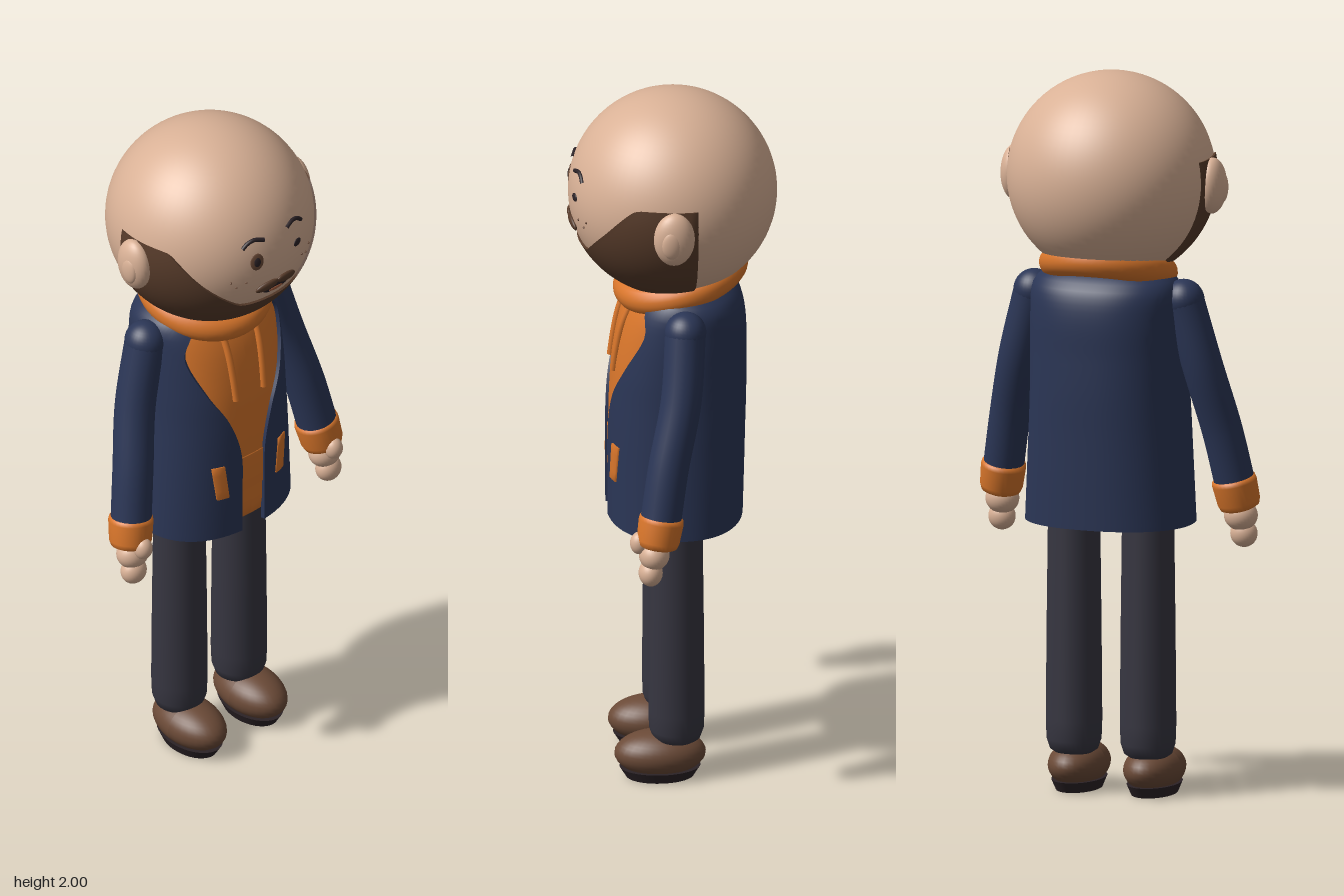
import * as THREE from 'three';
import { toCreasedNormals } from 'three/addons/utils/BufferGeometryUtils.js';

const V = (x, y, z) => new THREE.Vector3(x, y, z);

export function createModel() {
  const root = new THREE.Group();
  root.name = 'standingFigure';
  const material = (name, color, side = THREE.FrontSide) => {
    const m = new THREE.MeshStandardMaterial({ color, side });
    m.name = name;
    return m;
  };
  const skin = material('skin', 0xd9b196);
  const navy = material('navyCloth', 0x2b3656, THREE.DoubleSide);
  const orange = material('orangeCloth', 0xd9762b, THREE.DoubleSide);
  const charcoal = material('charcoalCloth', 0x373641);
  const beardBrown = material('beardBrown', 0x573b2a, THREE.DoubleSide);
  const leather = material('shoeLeather', 0x6b4a37);
  const dark = material('darkDetail', 0x2b2226);
  const lip = material('lip', 0xa8603f);

  const add = (name, geometry, mat, parent = root) => {
    const mesh = new THREE.Mesh(geometry, mat);
    mesh.name = name;
    parent.add(mesh);
    return mesh;
  };
  const ball = (name, mat, p, r, parent = root) => {
    const m = add(name, new THREE.SphereGeometry(1, 32, 20), mat, parent);
    m.position.set(...p);
    m.scale.set(...r);
    return m;
  };
  // Grid surface; fn(i, j) gives a point, i runs sideways and j upward
  const grid = (nu, nv, fn) => {
    const pos = [], idx = [];
    for (let j = 0; j <= nv; j++) for (let i = 0; i <= nu; i++) pos.push(...fn(i, j).toArray());
    for (let j = 0; j < nv; j++) for (let i = 0; i < nu; i++) {
      const a = j * (nu + 1) + i, b = a + nu + 1;
      idx.push(a, a + 1, b + 1, a, b + 1, b);
    }
    const g = new THREE.BufferGeometry();
    g.setAttribute('position', new THREE.Float32BufferAttribute(pos, 3));
    g.setIndex(idx);
    g.computeVertexNormals();
    return g;
  };
  // Smooth lookup in rows of [key, ...values]
  const lookup = (rows, y, k) => {
    const last = rows.length - 1;
    let i = 0;
    while (i < last - 1 && y > rows[i + 1][0]) i++;
    const slope = n => {
      const a = rows[Math.max(0, n - 1)], b = rows[Math.min(last, n + 1)];
      return (b[k] - a[k]) / (b[0] - a[0]);
    };
    const h = rows[i + 1][0] - rows[i][0];
    const t = THREE.MathUtils.clamp((y - rows[i][0]) / h, 0, 1), t2 = t * t, t3 = t2 * t;
    return rows[i][k] * (2 * t3 - 3 * t2 + 1) + rows[i + 1][k] * (3 * t2 - 2 * t3)
      + h * (slope(i) * (t3 - 2 * t2 + t) + slope(i + 1) * (t3 - t2));
  };

  // Torso: height, half width, front z, back z, half width of the open front
  const torso = [
    [0.76, 0.235, 0.182, -0.19, 0.04], [0.9, 0.228, 0.183, -0.194, 0.04],
    [1.02, 0.222, 0.183, -0.197, 0.043], [1.13, 0.217, 0.18, -0.2, 0.075],
    [1.23, 0.215, 0.172, -0.2, 0.13], [1.35, 0.212, 0.148, -0.198, 0.17],
    [1.42, 0.205, 0.118, -0.18, 0.14], [1.455, 0.175, 0.09, -0.145, 0.105],
    [1.475, 0.13, 0.06, -0.1, 0.08]];
  const E = 0.88;
  const bulge = v => Math.sign(v) * Math.abs(v) ** E;
  const torsoPoint = (y, t, s) => {
    const w = lookup(torso, y, 1), f = lookup(torso, y, 2), b = lookup(torso, y, 3);
    return V(w * s * bulge(Math.sin(t)), y, (f + b) / 2 + (f - b) / 2 * s * bulge(Math.cos(t)));
  };
  const angleAt = (x, y, s) =>
    Math.sign(x) * Math.asin(Math.min(1, Math.abs(x) / (lookup(torso, y, 1) * s)) ** (1 / E));
  const frontPoint = (x, y, s) => torsoPoint(y, angleAt(x, y, s), s);

  // Jacket with turned-in edges along the opening and the hem
  const NU = 72, NV = 40;
  add('jacket', toCreasedNormals(grid(NU, NV, (i, j) => {
    const y = THREE.MathUtils.lerp(0.76, 1.475, Math.max(0, j - 1) / (NV - 1));
    const gap = angleAt(lookup(torso, y, 4), y, 1);
    const u = THREE.MathUtils.clamp((i - 1) / (NU - 2), 0, 1);
    return torsoPoint(y, gap + u * (2 * Math.PI - 2 * gap), i === 0 || i === NU || j === 0 ? 0.94 : 1);
  }), 0.8), navy);

  // Hooded top beneath the jacket, closed below and above
  const innerRows = [[0.775, 0.01], [0.775, 0.82], [0.79, 0.91], [0.82, 0.95]];
  for (let i = 1; i <= 24; i++) innerRows.push([0.82 + 0.65 * i / 24, 0.955]);
  innerRows.push([1.472, 0.01]);
  add('hoodedTop', grid(64, innerRows.length - 1,
    (i, j) => torsoPoint(innerRows[j][0], i / 64 * Math.PI * 2, innerRows[j][1])), orange);
  add('waistband', grid(8, 4, (i, j) => {
    const edge = j === 0 || j === 4;
    return frontPoint((i / 4 - 1) * 0.06, 0.89 + 0.11 * THREE.MathUtils.clamp((j - 1) / 2, 0, 1), edge ? 0.95 : 0.972);
  }), orange);

  // Collar rolled round the neck, rising toward the back
  const collar = add('collar', new THREE.TorusGeometry(0.148, 0.042, 20, 56), orange);
  collar.rotation.x = Math.PI / 2 + 0.27;
  collar.position.set(0, 1.462, -0.022);

  // Head and face
  const R = 0.285, HY = 1.715;
  const head = new THREE.Group();
  head.name = 'headGroup';
  root.add(head);
  add('head', new THREE.SphereGeometry(R, 64, 44), skin, head).position.y = HY;
  const onHead = (x, y, off = 0) => V(x, y - HY, Math.sqrt(R * R - x * x - (y - HY) ** 2))
    .setLength(R + off).add(V(0, HY, 0));
  const plate = (name, mat, x, y, w, h, off, tilt = 0) => {
    const m = ball(name, mat, onHead(x, y, off).toArray(), [w, h, 0.004], head);
    m.lookAt(m.position.clone().multiplyScalar(2).sub(V(0, HY, 0)));
    m.rotateZ(tilt);
    return m;
  };

  // Beard: upper edge height against the fraction of the way round to the ears
  const edge = [[0, 1.585], [0.2, 1.587], [0.26, 1.6], [0.44, 1.675], [0.62, 1.765], [0.68, 1.775], [1, 1.775]];
  const BR = 0.291, BU = 80, BV = 24;
  add('beard', toCreasedNormals(grid(BU, BV + 1, (i, j) => {
    const u = i / BU * 2 - 1;
    const top = Math.asin((lookup(edge, Math.abs(u), 1) - HY) / BR);
    const lat = THREE.MathUtils.lerp(-Math.PI / 2, top, Math.min(1, j / BV));
    const rho = Math.cos(lat) * BR;
    const a = u * Math.acos(Math.max(-1, -0.052 / Math.max(rho, 0.001)));
    const k = j > BV || i === 0 || i === BU ? 0.975 : 1;
    return V(k * rho * Math.sin(a), HY + k * BR * Math.sin(lat), k * rho * Math.cos(a));
  }), 0.8), beardBrown, head);

  // Eyes: one open wide, one narrowed
  plate('rightEye', leather, -0.07, 1.742, 0.02, 0.026, 0);
  plate('rightPupil', dark, -0.07, 1.742, 0.011, 0.015, 0.002);
  plate('leftEye', dark, 0.077, 1.737, 0.016, 0.011, 0);
  plate('mouth', dark, 0, 1.624, 0.042, 0.015, 0);
  plate('lowerLip', lip, 0, 1.622, 0.025, 0.007, 0.003);

  for (const s of [1, -1]) {
    const side = s > 0 ? 'left' : 'right';
    const tube = (name, points, r, mat, parent = root) =>
      add(name, new THREE.TubeGeometry(new THREE.CatmullRomCurve3(points), 20, r, 10), mat, parent);

    // Brow, moustache wing, freckles and ear
    tube(side + 'Brow', [[0.105, 1.79], [0.09, 1.802], [0.07, 1.808], [0.04, 1.8]]
      .map(p => onHead(s * p[0], p[1], 0.001)), 0.006, dark, head);
    plate(side + 'Moustache', beardBrown, s * 0.034, 1.645, 0.037, 0.015, 0.002, -s * 0.2).scale.z = 0.009;
    for (const [x, y] of [[0.1, 1.68], [0.125, 1.668], [0.14, 1.688]])
      plate(side + 'Freckle', leather, s * x, y, 0.003, 0.003, 0);
    ball(side + 'Ear', skin, [s * 0.288, 1.7, 0.018], [0.037, 0.077, 0.056], head);
    ball(side + 'InnerEar', skin, [s * 0.314, 1.695, 0.026], [0.014, 0.042, 0.028], head);

    // Drawstring and pocket trim
    tube(side + 'Drawstring', [1.41, 1.34, 1.27, 1.2]
      .map(y => frontPoint(s * (0.058 - (1.41 - y) * 0.04), y, 0.965)), 0.01, orange);
    add(side + 'PocketTrim', grid(4, 6, (i, j) => {
      const y = 0.893 + 0.107 * THREE.MathUtils.clamp((j - 1) / 4, 0, 1);
      const rim = i === 0 || i === 4 || j === 0 || j === 6;
      const x = s * 0.108 + s * (y - 0.945) * 0.12 + 0.017 * THREE.MathUtils.clamp(i - 2, -1, 1);
      return frontPoint(x, y, rim ? 0.995 : 1.025);
    }), orange);

    // Sleeve
    const arm = new THREE.Group();
    arm.name = side + 'Arm';
    root.add(arm);
    const path = new THREE.CatmullRomCurve3([V(s * 0.218, 1.385, -0.018), V(s * 0.268, 1.2, -0.002),
      V(s * 0.31, 1.02, 0.036), V(s * 0.338, 0.87, 0.06)]);
    tube(side + 'Sleeve', path.points, 0.056, navy, arm).geometry =
      new THREE.TubeGeometry(path, 28, 0.056, 24);
    ball(side + 'Shoulder', navy, [s * 0.218, 1.385, -0.018], [0.057, 0.057, 0.057], arm);

    // Cuff with rounded rims
    const cuffShape = [[0.001, -0.04], [0.044, -0.045], [0.054, -0.04], [0.059, -0.025],
      [0.062, 0.03], [0.06, 0.041], [0.05, 0.045]].map(p => new THREE.Vector2(...p));
    const cuff = add(side + 'Cuff', new THREE.LatheGeometry(cuffShape, 32), orange, arm);
    cuff.position.set(s * 0.342, 0.845, 0.063);
    cuff.rotation.set(-0.17, 0, s * 0.17);

    // Hand
    ball(side + 'Palm', skin, [s * 0.348, 0.78, 0.078], [0.047, 0.043, 0.042], arm);
    ball(side + 'Fingers', skin, [s * 0.353, 0.728, 0.088], [0.038, 0.038, 0.033], arm);
    ball(side + 'Thumb', skin, [s * 0.345, 0.815, 0.118], [0.026, 0.032, 0.026], arm);

    // Trouser leg with a rounded lower end
    const legShape = [[0.001, 0.105], [0.05, 0.107], [0.066, 0.118], [0.075, 0.145], [0.077, 0.2],
      [0.075, 0.45], [0.072, 0.7], [0.07, 0.84]].map(p => new THREE.Vector2(...p));
    const leg = add(side + 'TrouserLeg', new THREE.LatheGeometry(legShape, 36), charcoal);
    leg.position.set(s * 0.108, 0, -0.002);

    // Shoe with a flattened underside and a dark sole
    const shoe = ball(side + 'Shoe', leather, [s * 0.11, 0.07, 0.043], [0.079, 0.063, 0.125]);
    const p = shoe.geometry.attributes.position;
    for (let i = 0; i < p.count; i++) p.setY(i, Math.max(p.getY(i), -0.8));
    shoe.geometry.computeVertexNormals();
    const sole = add(side + 'Sole', new THREE.CylinderGeometry(0.9, 0.75, 0.03, 40), dark);
    sole.position.set(s * 0.11, 0.015, 0.043);
    sole.scale.set(0.078, 1, 0.123);
  }
  return root;
}
